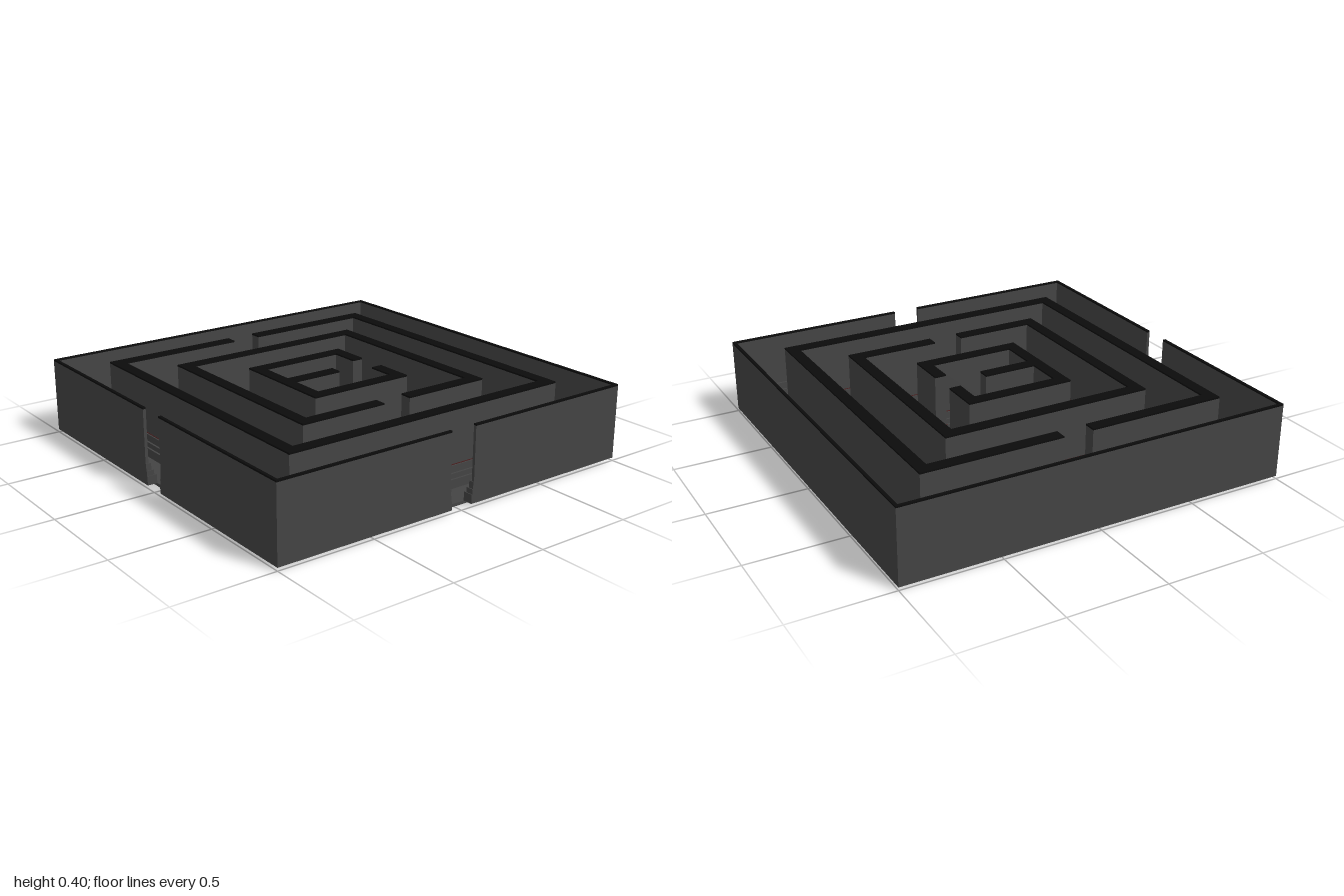
import * as THREE from 'three';

const FLOOR = 0.015, TOP = 0.395;

// Footprint of a wall following an axis-aligned open path of [x, z] points.
// a and b are the offsets to either side, ext lengthens the two free ends.
function footprint(path, a, b, ext) {
  const pts = path.map(([x, z]) => new THREE.Vector2(x, -z));
  const dirs = pts.slice(1).map((p, i) => p.clone().sub(pts[i]).normalize());
  const last = pts.length - 1;
  pts[0].addScaledVector(dirs[0], -ext);
  pts[last].addScaledVector(dirs[last - 1], ext);
  const side = (k) => pts.map((p, i) => {
    const q = p.clone();
    const near = i === 0 ? [dirs[0]] : i === last ? [dirs[last - 1]] : [dirs[i - 1], dirs[i]];
    for (const d of near) q.add(new THREE.Vector2(-d.y, d.x).multiplyScalar(k));
    return q;
  });
  return new THREE.Shape([...side(a), ...side(-b).reverse()]);
}

export function createModel() {
  const model = new THREE.Group();
  const mat = (name, color) => new THREE.MeshStandardMaterial({ name, color });
  const stone = mat('darkGreyStone', 0x444444);
  const black = mat('blackCap', 0x0b0b0b);
  const red = mat('darkRedBead', 0x4a1c1c);

  // Floor slab
  const floor = new THREE.Mesh(new THREE.BoxGeometry(1.9, FLOOR, 1.9), stone);
  floor.name = 'floor';
  floor.position.y = FLOOR / 2;
  model.add(floor);

  // Skirting steps: [projection, top height]
  const steps = [[0.01, 0.12], [0.02, 0.085], [0.03, 0.06]];

  function addWall(name, path, a, b, outer = false) {
    const wall = new THREE.Group();
    wall.name = name;
    const layer = (part, grow, y0, y1, material) => {
      const shape = footprint(path, a + grow, outer ? b : b + grow, grow / 3);
      const geo = new THREE.ExtrudeGeometry(shape, { depth: y1 - y0, bevelEnabled: false });
      geo.rotateX(-Math.PI / 2);
      const mesh = new THREE.Mesh(geo, material);
      mesh.name = part;
      mesh.position.y = y0;
      wall.add(mesh);
    };
    layer('wallBody', 0, FLOOR, TOP - 0.008, stone);
    layer('wallCap', 0, TOP - 0.008, TOP, black);
    for (const [d, h] of steps) layer('skirting', outer ? d * 1.17 : d, FLOOR, h, stone);
    if (!outer) layer('bead', 0.003, 0.12, 0.123, red);
    model.add(wall);
  }

  // Outer walls, with openings at the front and on the +x side
  const g = 0.07;
  addWall('outerWallCorner', [[g, 1], [1, 1], [1, g]], 0.015, 0, true);
  addWall('outerWallLong', [[1, -g], [1, -1], [-1, -1], [-1, 1], [-g, 1]], 0.015, 0, true);

  // Square rings, each with one opening; turn rotates the opening from -x
  const half = 0.03, gap = 0.077;
  const ring = (name, r, turn) => {
    const base = [[-r, -gap], [-r, -r], [r, -r], [r, r], [-r, r], [-r, gap]];
    const c = Math.round(Math.cos(turn)), s = Math.round(Math.sin(turn));
    addWall(name, base.map(([x, z]) => [x * c - z * s, x * s + z * c]), half, half);
  };
  ring('largeRing', 0.76, 0);
  ring('middleRing', 0.51, Math.PI);
  ring('smallRing', 0.25, Math.PI / 2);

  // Short wall in the middle
  addWall('centreWall', [[0, -0.053], [0, 0.24]], half, half);

  return model;
}
